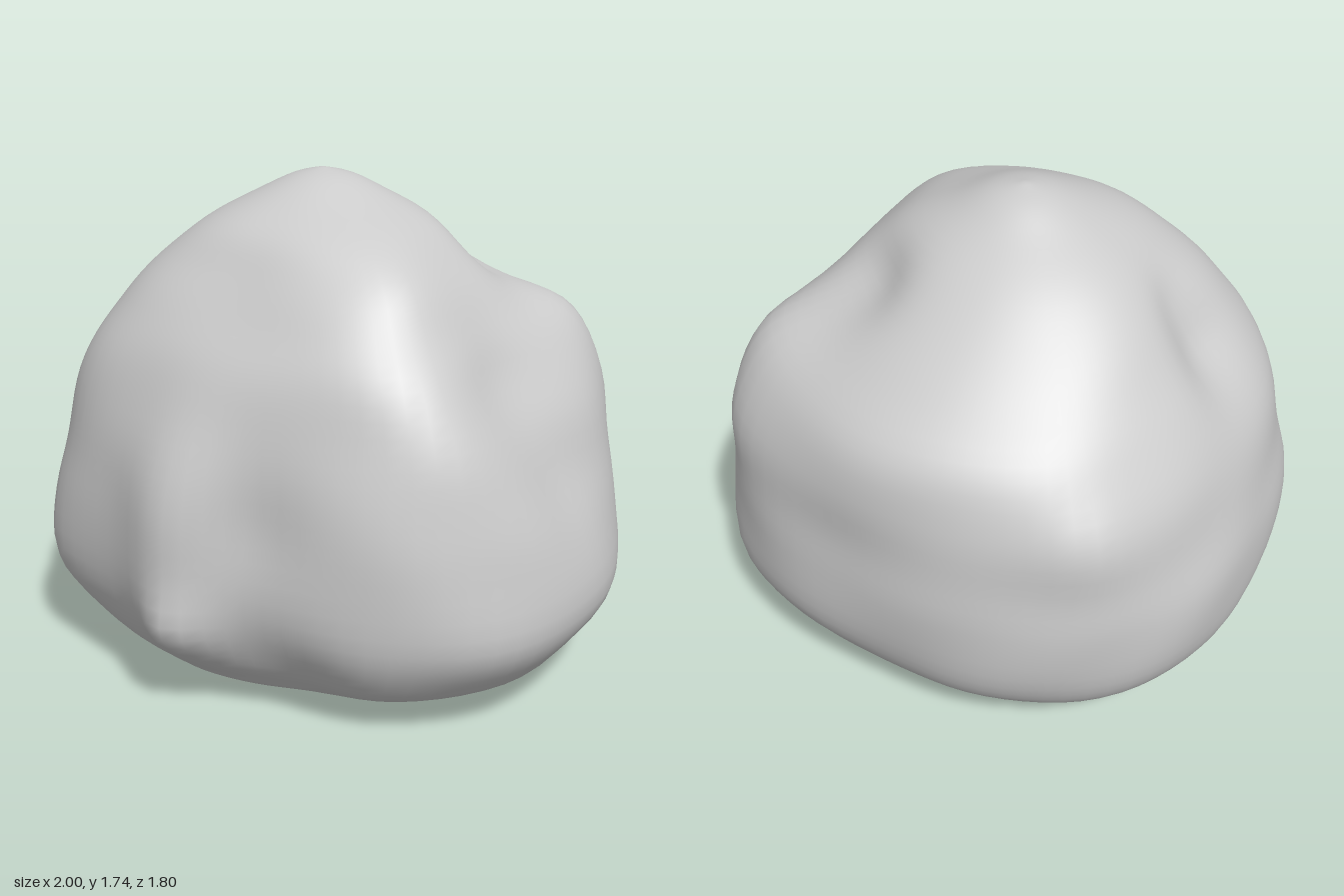
import * as THREE from 'three';

// Levels of the boulder: height, reach to -x, +x, -z, +z, squareness at the back and front
const LEVELS = [
  [0.0, 0, 0, 0, 0, 2, 2],
  [0.015, 0.3, 0.3, 0.25, 0.3, 2, 2],
  [0.05, 0.58, 0.52, 0.5, 0.57, 2, 2.2],
  [0.11, 0.81, 0.78, 0.66, 0.66, 2.1, 2.4],
  [0.2, 0.91, 0.9, 0.79, 0.73, 2.25, 2.5],
  [0.36, 0.98, 0.99, 0.87, 0.77, 2.35, 2.7],
  [0.6, 1.0, 0.96, 0.9, 0.78, 2.35, 2.7],
  [0.8, 0.96, 0.91, 0.89, 0.76, 2.35, 2.8],
  [1.0, 0.91, 0.85, 0.88, 0.71, 2.3, 3],
  [1.18, 0.81, 0.73, 0.83, 0.66, 2.2, 3.2],
  [1.32, 0.71, 0.6, 0.68, 0.58, 2.2, 3.2],
  [1.45, 0.6, 0.48, 0.52, 0.49, 2.2, 3],
  [1.57, 0.46, 0.34, 0.36, 0.39, 2.2, 2.7],
  [1.66, 0.31, 0.16, 0.21, 0.24, 2, 2.2],
  [1.72, 0.19, 0.03, 0.1, 0.11, 2, 2],
  [1.745, 0.08, -0.08, 0, 0, 2, 2],
];
const CENTRE_X = -0.08;

// Local swellings and hollows: centre, radius, push
const FEATURES = [
  [-0.14, 0.31, 0.76, 0.13, 0, 0, 0.09],       // tip of the front ridge
  [-0.17, 0.46, 0.78, 0.19, 0, 0, 0.07],       // front ridge
  [-0.16, 0.7, 0.78, 0.2, 0, 0, 0.065],
  [-0.14, 0.95, 0.73, 0.2, 0, 0, 0.05],
  [0.12, 0.68, 0.78, 0.18, 0, 0, -0.03],       // hollow beside the ridge
  [0.25, 0.16, 0.7, 0.2, 0, 0, -0.05],         // front undercut
  [-0.85, 0.36, 0.58, 0.25, -0.04, 0, 0.04],   // front corner
  [0.42, 1.45, 0.36, 0.18, 0.02, 0.02, 0.01],  // front upper edge
  [0.76, 1.06, 0.14, 0.26, -0.1, 0, 0],        // side valley
  [0.9, 0.78, 0.02, 0.2, -0.035, 0, 0],
  [0.32, 1.4, -0.33, 0.18, -0.06, -0.04, 0.06], // hollow above the shelf
  [0.62, 1.18, -0.46, 0.22, 0.05, 0.06, -0.02], // shelf
  [0.68, 0.95, -0.62, 0.2, 0.03, 0, -0.03],     // wall under the shelf
  [0.65, 0.2, -0.58, 0.22, 0.025, 0, -0.025],   // rear lower corner
  [-0.71, 1.24, 0.04, 0.15, 0.08, -0.02, 0],   // side notch
  [-0.64, 1.42, 0.03, 0.12, 0.03, 0, 0],
  [-0.6, 0.92, -0.65, 0.15, -0.04, 0.03, -0.04], // small rear ledge
  [0.2, 0.7, -0.86, 0.28, 0, 0, 0.02],         // rear groove
];

function levelAt(t) {
  const last = LEVELS.length - 1;
  const i = Math.min(Math.floor(t), last - 1);
  const f = t - i;
  const row = (k) => LEVELS[Math.max(0, Math.min(last, k))];
  return LEVELS[0].map((_, c) => {
    const [a, b, d, e] = [row(i - 1)[c], row(i)[c], row(i + 1)[c], row(i + 2)[c]];
    return b + 0.5 * f * (d - a + f * (2 * a - 5 * b + 4 * d - e + f * (3 * (b - d) + e - a)));
  });
}

function surfacePoint(t, angle) {
  const [y, left, right, back, front, backN, frontN] = levelAt(t);
  const c = Math.cos(angle), s = Math.sin(angle);
  const rx = Math.max(1e-4, c < 0 ? left + CENTRE_X : right - CENTRE_X);
  const rz = Math.max(1e-4, s < 0 ? back : front);
  const n = s < 0 ? backN : frontN;
  const r = Math.pow(Math.pow(Math.abs(c) / rx, n) + Math.pow(Math.abs(s) / rz, n), -1 / n);
  const base = new THREE.Vector3(CENTRE_X + r * c, y, r * s);
  const p = base.clone();
  for (const [x, fy, z, radius, dx, dy, dz] of FEATURES) {
    const d2 = (base.x - x) ** 2 + (base.y - fy) ** 2 + (base.z - z) ** 2;
    p.addScaledVector(new THREE.Vector3(dx, dy, dz), Math.exp(-d2 / (radius * radius)));
  }
  // faint weathering
  const w = 0.006 * Math.sin(9 * base.x + 4 * base.y) * Math.sin(8 * base.z - 7 * base.y + 1);
  p.x += w * c;
  p.z += w * s;
  p.y = Math.max(0, p.y);
  return p;
}

function boulderGeometry(rings, sides) {
  const positions = [], index = [];
  const last = LEVELS.length - 1;
  const add = (p) => positions.push(p.x, p.y, p.z);
  add(surfacePoint(0, 0));
  for (let i = 1; i < rings; i++) {
    for (let j = 0; j < sides; j++) add(surfacePoint((i / rings) * last, (j / sides) * Math.PI * 2));
  }
  add(surfacePoint(last, 0));
  const top = positions.length / 3 - 1;
  const id = (i, j) => 1 + (i - 1) * sides + (j % sides);
  for (let j = 0; j < sides; j++) {
    index.push(0, id(1, j), id(1, j + 1));
    for (let i = 1; i < rings - 1; i++) {
      index.push(id(i, j), id(i + 1, j), id(i, j + 1));
      index.push(id(i + 1, j), id(i + 1, j + 1), id(i, j + 1));
    }
    index.push(id(rings - 1, j), top, id(rings - 1, j + 1));
  }
  const geometry = new THREE.BufferGeometry();
  geometry.setAttribute('position', new THREE.Float32BufferAttribute(positions, 3));
  geometry.setIndex(index);
  geometry.computeVertexNormals();
  return geometry;
}

export function createModel() {
  const group = new THREE.Group();
  group.name = 'rock';
  const boulder = new THREE.Mesh(
    boulderGeometry(60, 80),
    new THREE.MeshStandardMaterial({ color: 0xcccccc })
  );
  boulder.name = 'boulder';
  group.add(boulder);
  return group;
}
